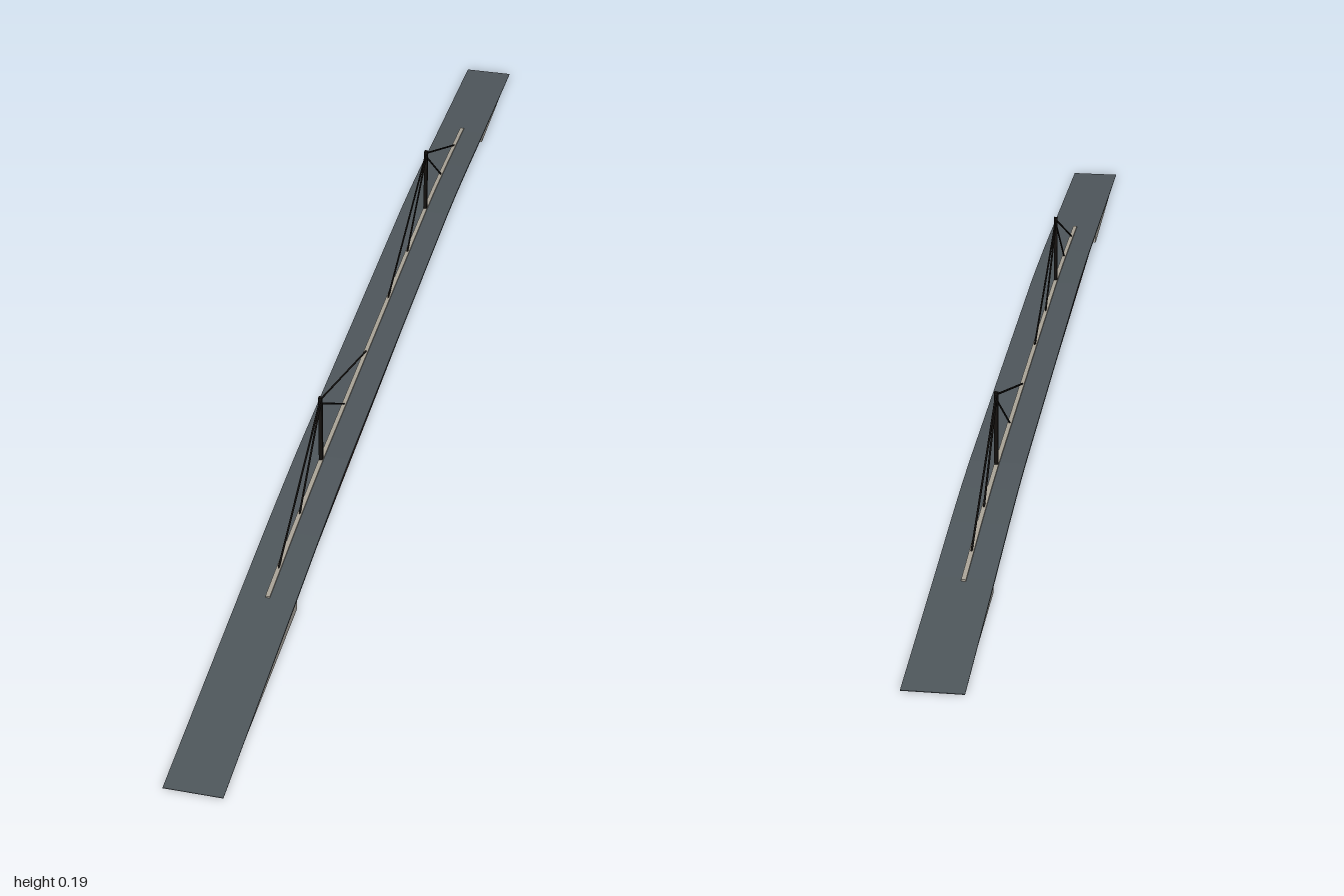
import * as THREE from 'three';

const mat = (color) => new THREE.MeshStandardMaterial({ color, side: THREE.DoubleSide });
const asphalt = mat(0x4f575c), steel = mat(0x35201a), concrete = mat(0xa8a49c);
const median = mat(0xaaa498), black = mat(0x14110f);

// Stations along the bridge axis
const END = 1.223, ABUT_A = -0.895, ABUT_B = 0.755, WIDTH = 0.1;
const TOWERS = [-0.512, 0.393], TOP = 0.187;

// Road surface height at station s
const PROFILE = [[-END, 0.001], [-0.895, 0.023], [-0.72, 0.036], [-0.6, 0.043], [-0.5, 0.046],
  [0.38, 0.046], [0.48, 0.043], [0.6, 0.038], [0.755, 0.029], [END, 0.001]];
function roadY(s) {
  for (let i = 1; i < PROFILE.length; i++) {
    const [a, ya] = PROFILE[i - 1], [b, yb] = PROFILE[i];
    if (s <= b) return ya + (yb - ya) * (s - a) / (b - a);
  }
  return 0;
}

// Strip between two height curves, extruded across the bridge
function strip(s0, s1, top, bottom, width) {
  const stations = [s0, ...PROFILE.map((p) => p[0]).filter((s) => s > s0 + 0.001 && s < s1 - 0.001), s1];
  const pts = stations.map((s) => new THREE.Vector2(s, top(s)));
  for (const s of [...stations].reverse()) pts.push(new THREE.Vector2(s, bottom(s)));
  const geo = new THREE.ExtrudeGeometry(new THREE.Shape(pts), { depth: width, bevelEnabled: false });
  return geo.translate(0, 0, -width / 2);
}

// Cylinder between two points on the centre plane
function rod(a, b, r, sides) {
  const dir = b.clone().sub(a);
  const geo = new THREE.CylinderGeometry(r, r, dir.length(), sides);
  geo.applyQuaternion(new THREE.Quaternion().setFromUnitVectors(new THREE.Vector3(0, 1, 0), dir.clone().normalize()));
  const mid = a.clone().add(b).multiplyScalar(0.5);
  return geo.translate(mid.x, mid.y, mid.z);
}

export function createModel() {
  const bridge = new THREE.Group();
  bridge.name = 'cableStayedBridge';
  const add = (name, geo, material, parent = bridge) => {
    const mesh = new THREE.Mesh(geo, material);
    mesh.name = name;
    parent.add(mesh);
    return mesh;
  };

  // Road slab, thinning out to the ground at both ends
  add('roadDeck', strip(-END, END, roadY, (s) => Math.max(0, roadY(s) - 0.004), WIDTH), asphalt);

  // Steel box girder with sides leaning in towards the bottom
  const girder = strip(ABUT_A, ABUT_B, (s) => roadY(s) - 0.003, (s) => roadY(s) - 0.015, 0.097);
  const p = girder.attributes.position;
  for (let i = 0; i < p.count; i++) {
    if (roadY(p.getX(i)) - p.getY(i) > 0.01) p.setZ(i, p.getZ(i) * 0.62);
  }
  girder.computeVertexNormals();
  add('girder', girder, steel);

  // Approach ramps
  for (const [name, s0, s1] of [['rearAbutment', -END + 0.07, ABUT_A], ['frontAbutment', ABUT_B, END - 0.07]]) {
    add(name, strip(s0, s1, (s) => roadY(s) - 0.003, () => 0.0004, 0.096), concrete);
  }

  // Raised median between the carriageways
  add('median', strip(-0.905, 0.77, (s) => roadY(s) + 0.003, (s) => roadY(s) - 0.001, 0.008), median);

  // Piers, masts and stay cables
  TOWERS.forEach((s, i) => {
    const tower = new THREE.Group();
    tower.name = i ? 'frontTower' : 'rearTower';
    bridge.add(tower);
    const pier = new THREE.CylinderGeometry(0.0145, 0.011, 0.034, 12);
    add('pier', pier.translate(s, 0.017, 0), concrete, tower);
    const mast = new THREE.BoxGeometry(0.007, TOP - 0.03, 0.007);
    add('mast', mast.translate(s, (TOP + 0.03) / 2, 0), black, tower);
    const inward = i ? -1 : 1;
    for (const [reach, y] of [[0.362, 0.182], [0.18, 0.174], [-0.16, 0.174], [-0.308, 0.182]]) {
      const foot = s + inward * reach;
      add('stayCable', rod(new THREE.Vector3(s, y, 0), new THREE.Vector3(foot, roadY(foot), 0), 0.0018, 6), black, tower);
    }
  });

  // Turn the bridge onto its diagonal line
  bridge.rotation.y = -Math.atan2(0.97, 0.745);
  const model = new THREE.Group();
  model.name = 'bridgeModel';
  model.add(bridge);
  return model;
}
